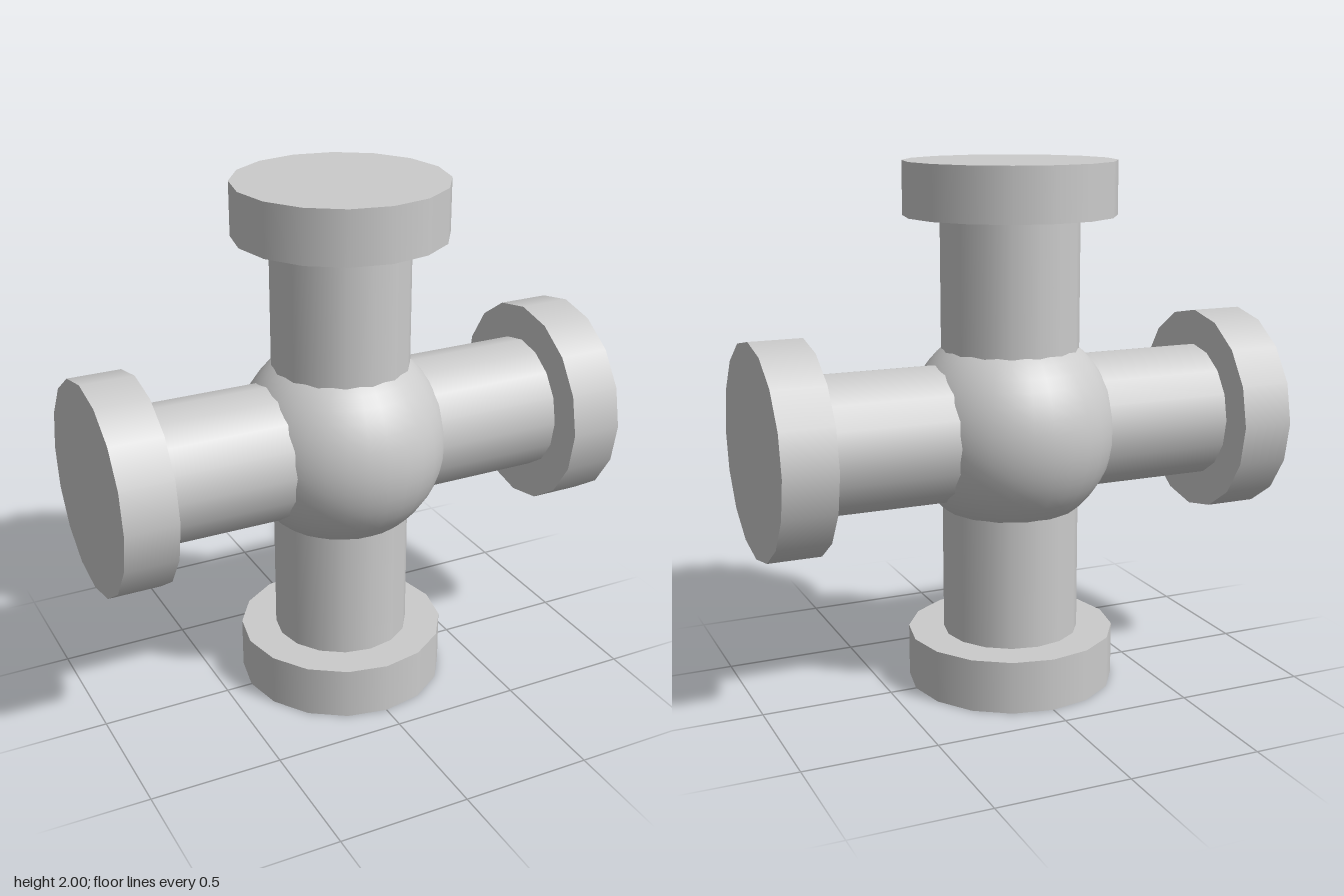
import * as THREE from 'three';

export function createModel() {
  const model = new THREE.Group();
  model.name = 'pipeCross';
  const material = new THREE.MeshStandardMaterial({ color: 0xcccccc });

  function add(parent, name, geometry, y) {
    const mesh = new THREE.Mesh(geometry, material);
    mesh.name = name;
    mesh.position.y = y;
    parent.add(mesh);
  }

  // Round hub where the pipes meet
  add(model, 'hub', new THREE.SphereGeometry(0.4, 32, 24), 1);

  // Four arms, each a pipe ending in a wide flange
  const pipe = new THREE.CylinderGeometry(0.26, 0.26, 0.7, 16);
  const flange = new THREE.CylinderGeometry(0.397, 0.397, 0.2, 16);
  ['topArm', 'rightArm', 'bottomArm', 'leftArm'].forEach((name, i) => {
    const arm = new THREE.Group();
    arm.name = name;
    add(arm, 'pipe', pipe, 0.5);
    add(arm, 'flange', flange, 0.9);
    arm.position.y = 1;
    arm.rotation.z = i * Math.PI / 2;
    model.add(arm);
  });

  return model;
}
